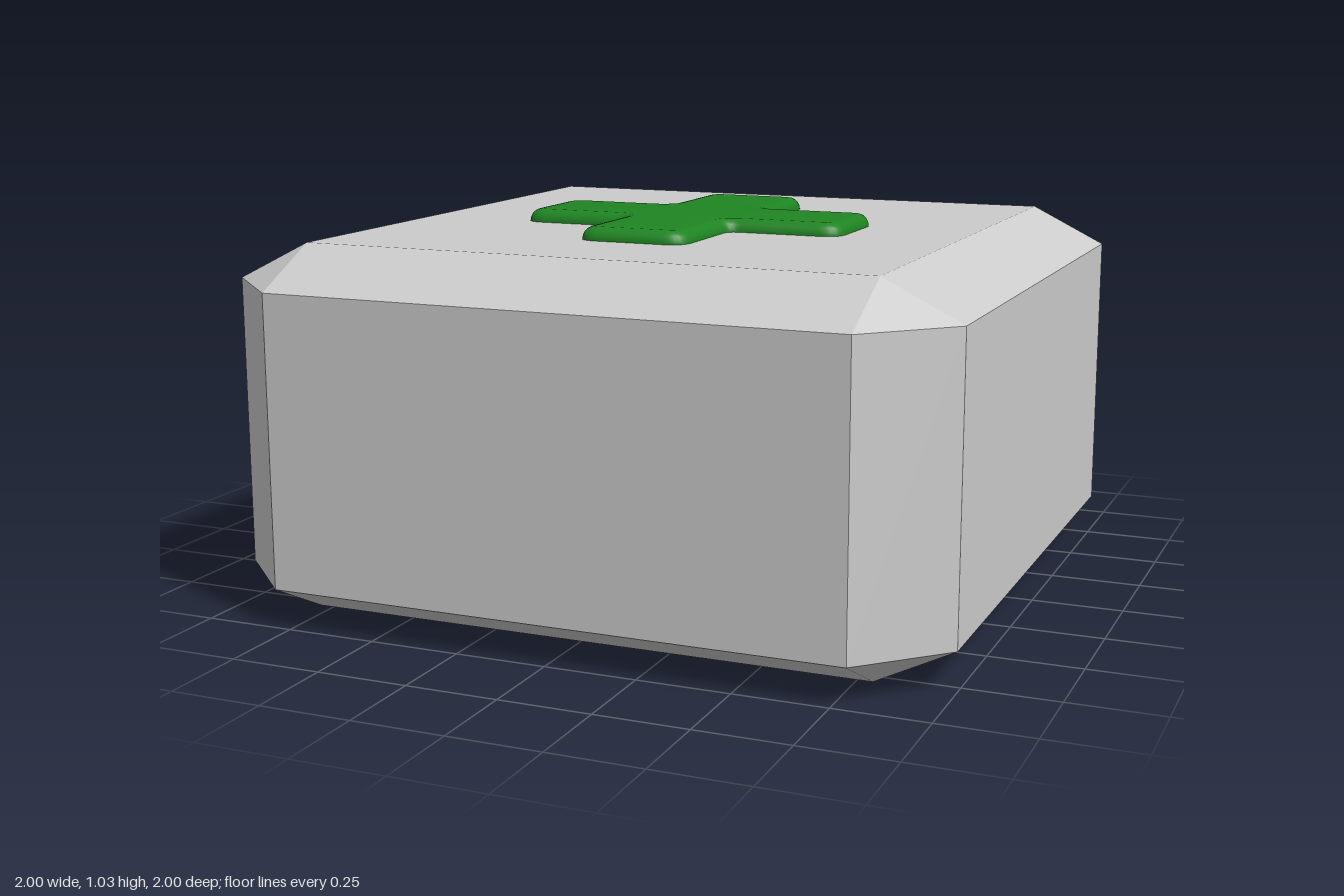
import * as THREE from 'three';
import { ConvexGeometry } from 'three/addons/geometries/ConvexGeometry.js';
import { toCreasedNormals } from 'three/addons/utils/BufferGeometryUtils.js';

// Box with chamfered edges and triangular corner facets
function chamferedBox(half, inner, height, chamferY) {
  const points = [];
  for (const sx of [-1, 1]) for (const sz of [-1, 1]) for (const top of [false, true]) {
    const yCap = top ? height : 0;
    const ySide = top ? height - chamferY : chamferY;
    points.push(
      new THREE.Vector3(sx * inner, yCap, sz * inner),
      new THREE.Vector3(sx * half, ySide, sz * inner),
      new THREE.Vector3(sx * inner, ySide, sz * half)
    );
  }
  return new ConvexGeometry(points);
}

// Plus-shaped outline with rounded tips and small fillets in the inner corners
function crossShape(length, width, tipRadius, filletRadius) {
  const corners = [];
  for (let i = 0; i < 4; i++) {
    const turn = i * Math.PI / 2;
    for (const [x, y, r] of [[length, -width, tipRadius], [length, width, tipRadius], [width, width, filletRadius]]) {
      const p = new THREE.Vector2(x, y).rotateAround(new THREE.Vector2(), turn);
      corners.push({ p, r });
    }
  }
  const shape = new THREE.Shape();
  corners.forEach(({ p, r }, i) => {
    const n = corners.length;
    const toward = (q) => q.clone().sub(p).setLength(r).add(p);
    const start = toward(corners[(i + n - 1) % n].p);
    const end = toward(corners[(i + 1) % n].p);
    if (i === 0) shape.moveTo(start.x, start.y);
    else shape.lineTo(start.x, start.y);
    shape.quadraticCurveTo(p.x, p.y, end.x, end.y);
  });
  shape.closePath();
  return shape;
}

export function createModel() {
  const group = new THREE.Group();
  group.name = 'medicalBox';

  // Box body
  const body = new THREE.Mesh(
    chamferedBox(1, 0.79, 1, 0.105),
    new THREE.MeshStandardMaterial({ color: 0xcccccc, flatShading: true })
  );
  body.name = 'boxBody';
  group.add(body);

  // Raised green cross with a rounded rim, half sunk into the lid
  const bevel = 0.034;
  const crossGeometry = new THREE.ExtrudeGeometry(crossShape(0.475, 0.155, 0.06, 0.035), {
    depth: 0.004,
    curveSegments: 6,
    bevelEnabled: true,
    bevelThickness: bevel,
    bevelSize: bevel,
    bevelOffset: -bevel,
    bevelSegments: 5
  });
  crossGeometry.rotateX(-Math.PI / 2);
  const cross = new THREE.Mesh(
    toCreasedNormals(crossGeometry, 0.7),
    new THREE.MeshStandardMaterial({ color: 0x1f8522 })
  );
  cross.name = 'raisedCross';
  cross.position.y = 0.997;
  group.add(cross);

  return group;
}
